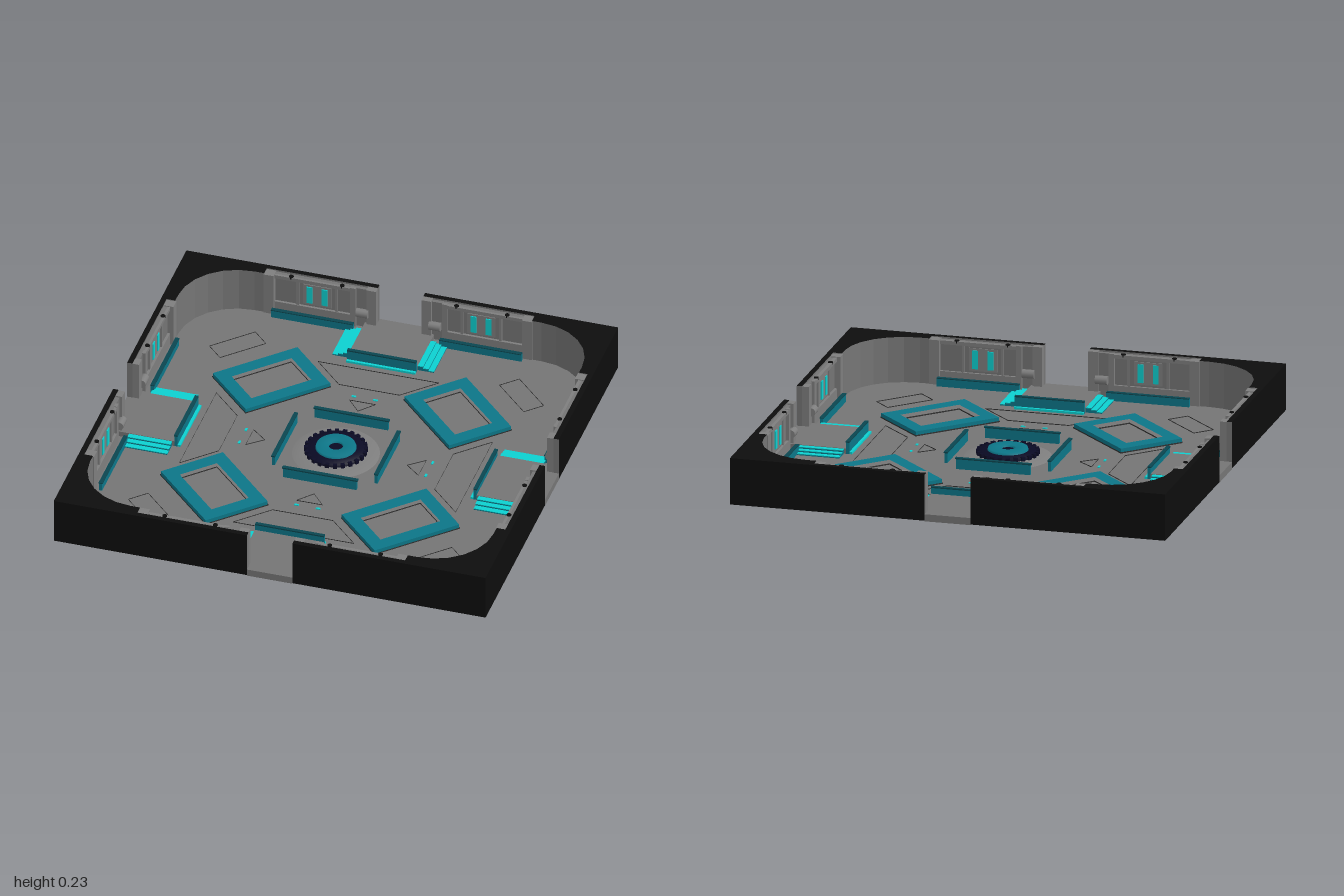
import * as THREE from 'three';

const mat = (name, color, side = THREE.FrontSide) => {
  const m = new THREE.MeshStandardMaterial({ color, side });
  m.name = name;
  return m;
};

export function createModel() {
  const black = mat('black shell', 0x0d0d0d, THREE.DoubleSide);
  const grey = mat('floor grey', 0x757575);
  const pale = mat('trim grey', 0x7e7e7e);
  const teal = mat('teal', 0x0c7688);
  const darkTeal = mat('dark teal', 0x0a4650);
  const cyan = mat('cyan glow', 0x0cd0d0);
  const navy = mat('navy', 0x0a0a24);
  const groove = mat('groove grey', 0x303030, THREE.DoubleSide);

  const root = new THREE.Group();
  root.name = 'arena';

  const add = (parent, name, geo, m) => {
    const mesh = new THREE.Mesh(geo, m);
    mesh.name = name;
    parent.add(mesh);
    return mesh;
  };
  // Box given by its lower and upper limits
  const box = (parent, name, m, x0, x1, y0, y1, z0, z1) => {
    const g = new THREE.BoxGeometry(Math.abs(x1 - x0), y1 - y0, z1 - z0);
    return add(parent, name, g.translate((x0 + x1) / 2, (y0 + y1) / 2, (z0 + z1) / 2), m);
  };
  const toShape = (pts) => new THREE.Shape(pts.map(([x, z]) => new THREE.Vector2(x, -z)));
  // Plan outline raised from y0 to y1
  const slab = (parent, name, m, shape, y0, y1) => {
    const g = new THREE.ExtrudeGeometry(shape, { depth: y1 - y0, bevelEnabled: false });
    return add(parent, name, g.rotateX(-Math.PI / 2).translate(0, y0, 0), m);
  };
  // Upright sheet following a plan path
  const strip = (parent, name, m, pts, y0, y1) => {
    const pos = [];
    for (let i = 0; i + 1 < pts.length; i++) {
      const [a, b] = pts[i], [c, d] = pts[i + 1];
      pos.push(a, y0, b, c, y0, d, c, y1, d, a, y0, b, c, y1, d, a, y1, b);
    }
    const g = new THREE.BufferGeometry();
    g.setAttribute('position', new THREE.Float32BufferAttribute(pos, 3));
    g.computeVertexNormals();
    return add(parent, name, g, m);
  };
  const outline = (parent, name, pts) => strip(parent, name, groove, [...pts, pts[0]], 0.008, 0.024);
  const rect = (w, d, cz = 0) => [[-w / 2, cz - d / 2], [w / 2, cz - d / 2], [w / 2, cz + d / 2], [-w / 2, cz + d / 2]];

  const FLOOR = 0.02, TOP = 0.23, BASE = 0.015;

  // Rounded inner corner, shared by the wall and the floor
  const arc = [];
  for (let i = 0; i <= 6; i++) {
    const a = Math.PI / 2 * (1 - i / 6);
    arc.push([0.665 + 0.27 * Math.cos(a), 0.665 + 0.27 * Math.sin(a)]);
  }
  const bay = [[0.62, 0.975], [0.62, 0.935], ...arc, [0.935, 0.62], [0.975, 0.62]];

  // Floor plate
  const floorPts = [];
  for (let k = 0; k < 4; k++) {
    const c = Math.round(Math.cos(k * Math.PI / 2)), s = Math.round(Math.sin(k * Math.PI / 2));
    // Each quarter turns the corner outline by 90 degrees
    for (const [x, z] of bay) floorPts.push([x * c + z * s, -x * s + z * c]);
  }
  // Order the outline around the centre
  floorPts.sort((p, q) => Math.atan2(p[1], p[0]) - Math.atan2(q[1], q[0]));
  slab(root, 'floor', grey, toShape(floorPts), 0.012, FLOOR);

  for (let k = 0; k < 4; k++) {
    const side = new THREE.Group();
    side.name = 'side' + (k + 1);
    side.rotation.y = k * Math.PI / 2;
    root.add(side);

    // Corner wall: black top and outside, grey inside, open below
    const inner = [[0.105, 1], [0.105, 0.975], ...bay, [0.975, 0.105], [1, 0.105]];
    const cap = new THREE.ShapeGeometry(toShape([...inner, [1, 1]]));
    add(side, 'wallTop', cap.rotateX(-Math.PI / 2).translate(0, TOP, 0), black);
    strip(side, 'wallOutside', black, [[0.105, 1], [1, 1], [1, 0.105]], BASE, TOP);
    strip(side, 'wallInside', grey, inner.reverse(), BASE, TOP);

    // Wall panels on both sides of the doorway
    for (const s of [-1, 1]) {
      const b = (name, m, x0, x1, ...r) => box(side, name, m, s * x0, s * x1, ...r);
      b('wallPanel', grey, 0.15, 0.6, FLOOR, 0.222, 0.957, 0.976);
      b('doorJamb', pale, 0.106, 0.15, FLOOR, 0.228, 0.945, 0.976);
      b('innerPillar', pale, 0.2, 0.225, FLOOR, 0.225, 0.945, 0.96);
      b('outerPillar', pale, 0.575, 0.622, FLOOR, 0.226, 0.93, 0.976);
      b('panelFoot', pale, 0.225, 0.575, FLOOR, 0.08, 0.945, 0.96);
      b('panelHead', pale, 0.225, 0.575, 0.205, 0.222, 0.945, 0.96);
      for (const x of [0.29, 0.47]) b('panelRib', pale, x - 0.006, x + 0.006, 0.08, 0.205, 0.949, 0.96);
      b('lightPlate', pale, 0.315, 0.445, 0.09, 0.195, 0.953, 0.96);
      for (const x of [0.345, 0.415]) b('wallLight', cyan, x - 0.013, x + 0.013, 0.1, 0.185, 0.948, 0.954);
      for (const x of [0.265, 0.5]) {
        const bolt = add(side, 'bolt', new THREE.CylinderGeometry(0.011, 0.011, 0.012, 8), black);
        bolt.position.set(s * x, 0.22, 0.955);
      }
      const pipe = add(side, 'pipe', new THREE.CylinderGeometry(0.02, 0.02, 0.055, 12), pale);
      pipe.rotation.z = Math.PI / 2;
      pipe.position.set(s * 0.168, 0.1, 0.945);

      // Low bumper along the wall
      b('bumper', teal, 0.2, 0.58, FLOOR, 0.056, 0.905, 0.92);
      b('bumperCap', darkTeal, 0.2, 0.58, 0.056, 0.06, 0.903, 0.922);

      // Stairs beside the platform
      for (let i = 0; i < 3; i++) {
        const x0 = 0.16 + i * 0.025, y = 0.043 - i * 0.008;
        b('stairRiser', teal, x0, x0 + 0.025, 0.015, y - 0.003, 0.71, 0.91);
        b('stairTread', cyan, x0, x0 + 0.025, y - 0.003, y, 0.71, 0.91);
      }
      box(side, 'floorLight', cyan, s * 0.05 - 0.01, s * 0.05 + 0.01, FLOOR, 0.024, 0.427, 0.437);
    }

    // Entrance platform and its rail
    box(side, 'platform', grey, -0.16, 0.16, 0.012, 0.045, 0.7, 0.975);
    box(side, 'threshold', grey, -0.105, 0.105, 0.012, 0.045, 0.975, 1);
    box(side, 'platformRail', teal, -0.16, 0.16, FLOOR, 0.072, 0.685, 0.7);
    box(side, 'platformRailCap', darkTeal, -0.16, 0.16, 0.072, 0.078, 0.685, 0.702);
    box(side, 'railLight', cyan, -0.16, 0.16, FLOOR, 0.03, 0.672, 0.685);

    // Barrier around the centre
    box(side, 'centreBarrier', teal, -0.17, 0.17, FLOOR, 0.066, 0.231, 0.245);
    box(side, 'centreBarrierCap', darkTeal, -0.175, 0.175, 0.066, 0.072, 0.229, 0.247);

    // Floor seams between the platform and the centre
    outline(side, 'trapezoidSeam', [[-0.28, 0.64], [0.28, 0.64], [0.14, 0.5], [-0.14, 0.5]]);
    outline(side, 'triangleSeam', [[-0.06, 0.4], [0.06, 0.4], [0, 0.33]]);

    // Diagonal frame and corner seam
    const diag = new THREE.Group();
    diag.name = 'diagonal';
    diag.rotation.y = Math.PI / 4;
    side.add(diag);
    const frame = toShape(rect(0.424, 0.311, 0.61));
    frame.holes.push(new THREE.Path(rect(0.3, 0.187, 0.61).map(([x, z]) => new THREE.Vector2(x, -z))));
    slab(diag, 'floorFrame', teal, frame, 0.006, 0.042);
    for (const [w, d] of [[0.428, 0.315], [0.296, 0.183]]) {
      strip(diag, 'frameEdge', groove, [...rect(w, d, 0.61), rect(w, d, 0.61)[0]], 0.008, 0.026);
    }
    outline(diag, 'cornerSeam', rect(0.23, 0.1, 0.93));
  }

  // Central pad
  const centre = new THREE.Group();
  centre.name = 'centrePad';
  root.add(centre);
  const ring = (name, m, pts, n = 40) =>
    add(centre, name, new THREE.LatheGeometry(pts.map(([r, y]) => new THREE.Vector2(r, y)), n), m);
  ring('padBase', pale, [[0.195, FLOOR], [0.14, 0.034], [0, 0.034]]);
  ring('padCollar', navy, [[0.132, 0.03], [0.132, 0.048], [0.085, 0.052], [0, 0.052]]);
  ring('padRing', teal, [[0.092, 0.05], [0.088, 0.062], [0.034, 0.062], [0.03, 0.05]]);
  for (let i = 0; i < 24; i++) {
    const a = i * Math.PI / 12;
    // Teeth round the collar, and studs underneath
    const tooth = add(centre, 'collarTooth', new THREE.BoxGeometry(0.018, 0.02, 0.016), navy);
    tooth.position.set(0.133 * Math.sin(a), 0.042, 0.133 * Math.cos(a));
    tooth.rotation.y = a;
    const stud = add(centre, 'underStud', new THREE.BoxGeometry(0.018, 0.012, 0.008), navy);
    stud.position.set(0.133 * Math.sin(a), 0.006, 0.133 * Math.cos(a));
    stud.rotation.y = a;
  }
  return root;
}
